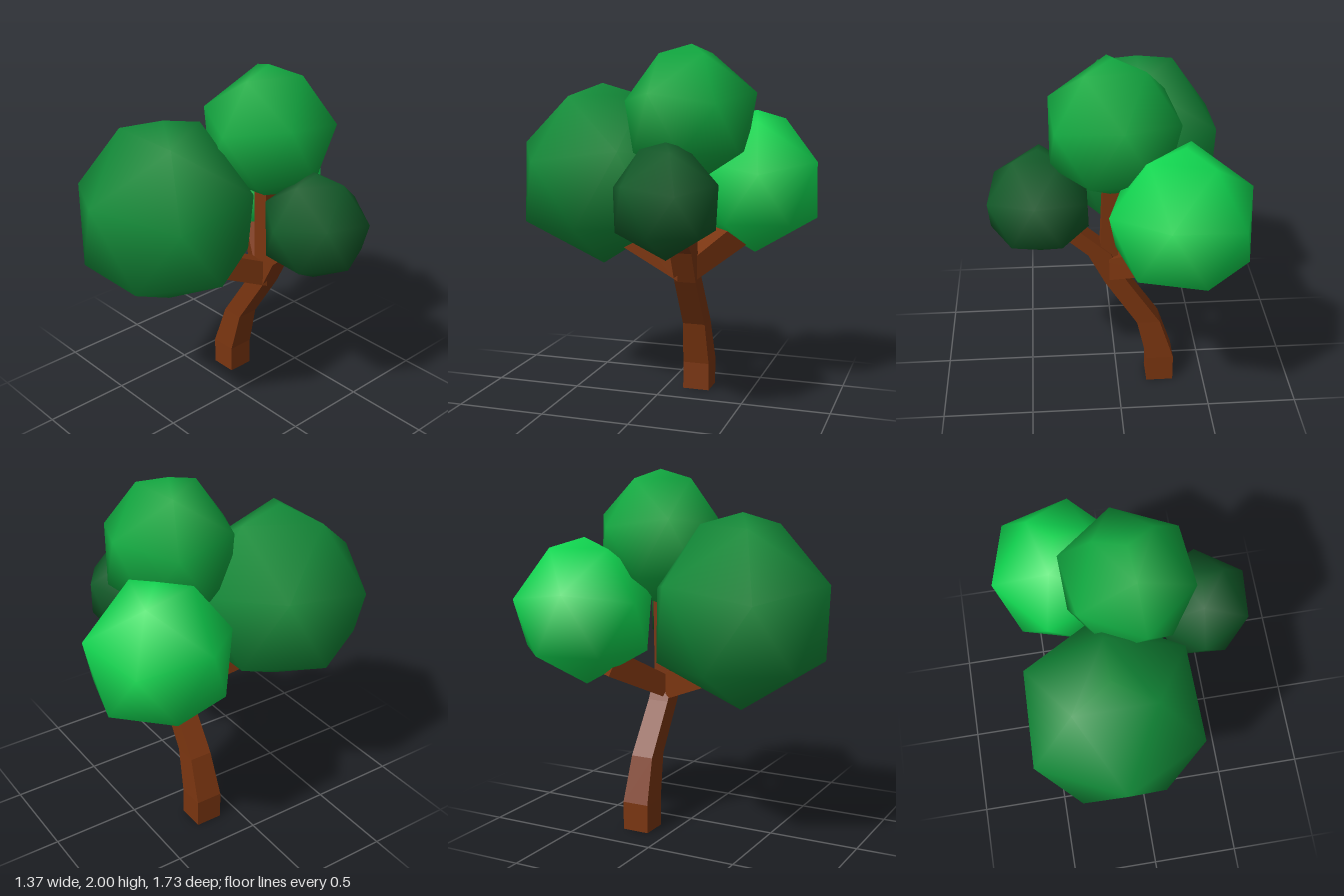
import * as THREE from 'three';
import { ConvexGeometry } from 'three/addons/geometries/ConvexGeometry.js';
import { mergeVertices } from 'three/addons/utils/BufferGeometryUtils.js';

const BARK = 0x7a3510;

// Square-section limb lofted through [x, y, z, half width]; u x v points along the limb
function limb(name, sections, u, v) {
  const pos = [], idx = [];
  for (const [x, y, z, h] of sections) {
    for (const [a, b] of [[-1, -1], [1, -1], [1, 1], [-1, 1]]) {
      pos.push(x + h * (a * u[0] + b * v[0]), y + h * (a * u[1] + b * v[1]), z + h * (a * u[2] + b * v[2]));
    }
  }
  for (let i = 0; i < sections.length - 1; i++) {
    for (let j = 0; j < 4; j++) {
      const a = i * 4 + j, b = i * 4 + (j + 1) % 4;
      idx.push(a, b, b + 4, a, b + 4, a + 4);
    }
  }
  const e = (sections.length - 1) * 4;
  idx.push(0, 2, 1, 0, 3, 2, e, e + 1, e + 2, e, e + 2, e + 3);
  const indexed = new THREE.BufferGeometry();
  indexed.setAttribute('position', new THREE.Float32BufferAttribute(pos, 3));
  indexed.setIndex(idx);
  const geo = indexed.toNonIndexed();
  geo.computeVertexNormals();
  const mesh = new THREE.Mesh(geo, new THREE.MeshStandardMaterial({ color: BARK, flatShading: true }));
  mesh.name = name;
  return mesh;
}

// Faceted leaf ball of radius 1: two poles and rings with three-fold symmetry
function leafBall() {
  const pts = [new THREE.Vector3(0, 1, 0), new THREE.Vector3(0, -1, 0)];
  const ring = (count, radius, y, startDeg) => {
    for (let i = 0; i < count; i++) {
      const a = THREE.MathUtils.degToRad(startDeg) + i * Math.PI * 2 / count;
      pts.push(new THREE.Vector3(radius * Math.sin(a), y, radius * Math.cos(a)));
    }
  };
  ring(3, 0.47, 0.87, 60);
  ring(3, 0.93, 0.33, 0);
  ring(3, 0.97, 0.2, 60);
  ring(6, 0.86, -0.5, 30);
  let geo = new ConvexGeometry(pts);
  geo.deleteAttribute('normal');
  geo = mergeVertices(geo, 1e-4);
  geo.computeVertexNormals();
  return geo;
}

export function createModel() {
  const tree = new THREE.Group();
  tree.name = 'tree';

  // Bent trunk, running on into the limb on the left
  tree.add(limb('trunk', [
    [-0.245, 0, -0.185, 0.077], [-0.245, 0.16, -0.185, 0.077], [-0.175, 0.41, -0.187, 0.065],
    [0.01, 0.695, -0.187, 0.062], [0.1, 0.875, -0.187, 0.062], [0.33, 1.08, -0.187, 0.06],
  ], [0, 0, 1], [1, 0, 0]));

  // Branches into the other leaf balls
  tree.add(limb('topBranch', [[0.05, 0.8, -0.187, 0.05], [0.03, 1.4, -0.19, 0.045]], [0, 0, 1], [1, 0, 0]));
  tree.add(limb('frontBranch', [[0.03, 0.78, -0.15, 0.062], [-0.1, 0.93, 0.22, 0.062]], [1, 0, 0], [0, 1.25, 0]));
  tree.add(limb('backBranch', [[0.04, 0.76, -0.18, 0.06], [-0.26, 0.94, -0.385, 0.075]],
    [-0.57, 0, 0.82], [0.35, 0.9, 0.25]));

  // Leaf balls: position, radius, turn in degrees, colour
  const geo = leafBall();
  const balls = [
    ['frontLeaves', -0.15, 1.255, 0.38, 0.528, 0, 0x128a38],
    ['topLeaves', 0.027, 1.615, -0.205, 0.385, 66, 0x11a840],
    ['backLeaves', -0.315, 1.225, -0.495, 0.41, 44, 0x11d650],
    ['leftLeaves', 0.42, 1.192, -0.185, 0.308, 56, 0x115a28],
  ];
  for (const [name, x, y, z, r, turn, color] of balls) {
    const ball = new THREE.Mesh(geo, new THREE.MeshStandardMaterial({ color }));
    ball.name = name;
    ball.position.set(x, y, z);
    ball.scale.setScalar(r);
    ball.rotation.y = THREE.MathUtils.degToRad(turn);
    tree.add(ball);
  }
  return tree;
}
